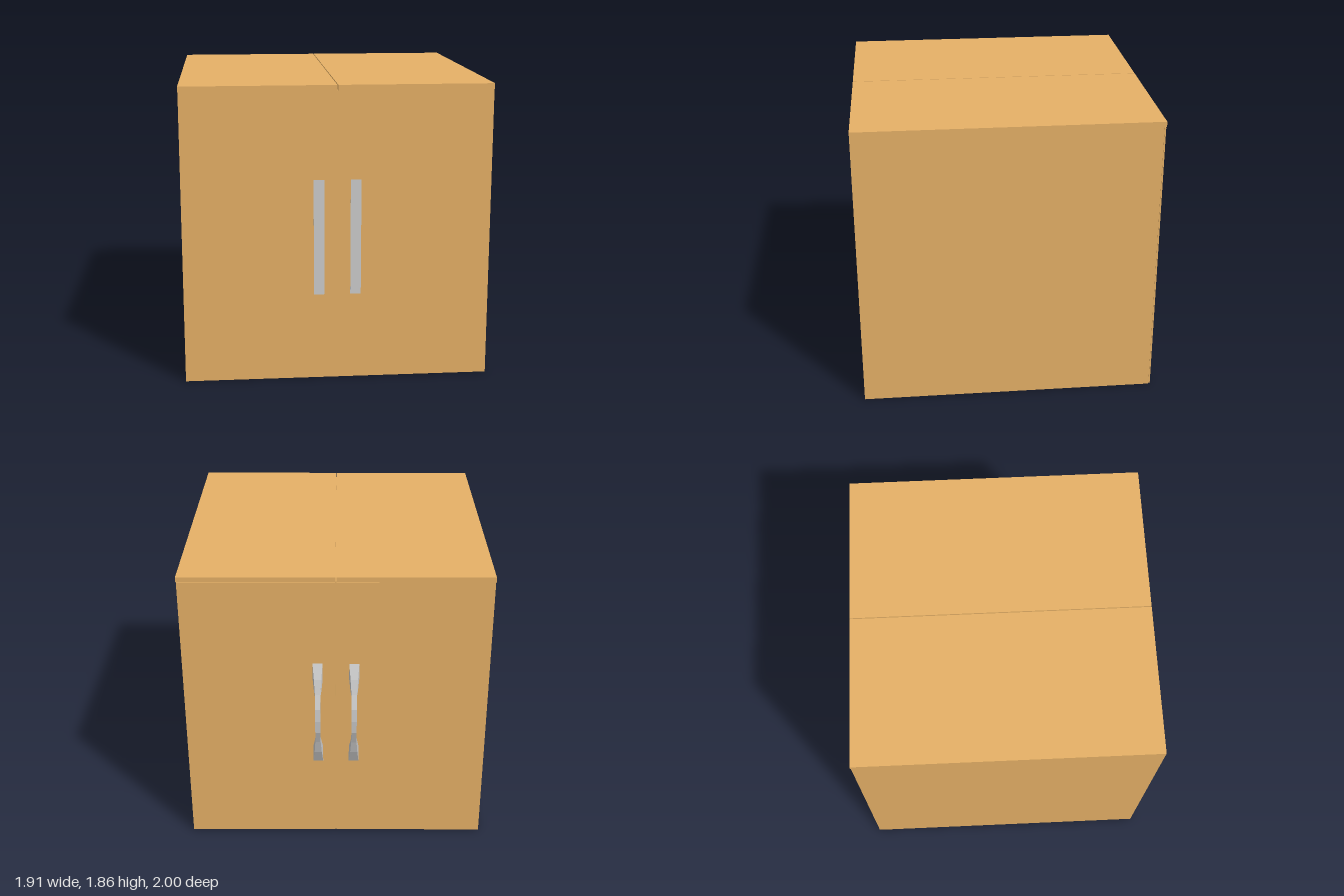
import * as THREE from 'three';

const wood = new THREE.MeshStandardMaterial({ color: 0xe5b066 });
const metal = new THREE.MeshStandardMaterial({ color: 0xcccccc, flatShading: true });

// Box given by its minimum and maximum corners
function box(name, material, min, max) {
  const size = max.map((v, i) => v - min[i]);
  const mesh = new THREE.Mesh(new THREE.BoxGeometry(...size), material);
  mesh.position.set(...min.map((v, i) => (v + max[i]) / 2));
  mesh.name = name;
  return mesh;
}

// Bowed handle: rectangular sections lofted from one foot to the other
function handleGeometry() {
  // outer y, outer z, inner y, inner z, half width (y measured from the middle)
  const half = [
    [0.365, -0.89, 0.25, -0.89, 0.032],
    [0.265, -0.935, 0.185, -0.935, 0.023],
    [0.175, -0.96, 0.15, -0.944, 0.017],
    [0.085, -0.993, 0.075, -0.953, 0.016],
    [0, -1, 0, -0.963, 0.017],
  ];
  const mirrored = half.slice(0, -1).reverse().map(([a, b, c, d, w]) => [-a, b, -c, d, w]);
  const sections = [...half, ...mirrored];
  const positions = [];
  const index = [];
  for (const [oy, oz, iy, iz, w] of sections) {
    positions.push(-w, oy, oz, w, oy, oz, w, iy, iz, -w, iy, iz);
  }
  for (let s = 0; s < sections.length - 1; s++) {
    for (let k = 0; k < 4; k++) {
      const a = s * 4 + k, b = s * 4 + (k + 1) % 4;
      index.push(a, b, a + 4, b, b + 4, a + 4);
    }
  }
  // feet
  const e = (sections.length - 1) * 4;
  index.push(0, 2, 1, 0, 3, 2, e, e + 1, e + 2, e, e + 2, e + 3);
  const geometry = new THREE.BufferGeometry();
  geometry.setAttribute('position', new THREE.Float32BufferAttribute(positions, 3));
  geometry.setIndex(index);
  const flat = geometry.toNonIndexed();
  flat.computeVertexNormals();
  return flat;
}

export function createModel() {
  const model = new THREE.Group();
  model.name = 'cabinet';

  // Carcass
  model.add(box('carcass', wood, [-0.955, 0, -0.883], [0.955, 1.826, 0.999]));

  const bar = handleGeometry();
  bar.computeBoundingSphere();
  const gap = 0.003;
  for (const side of [1, -1]) {
    const label = side > 0 ? 'left' : 'right';
    const span = (a, b) => [Math.min(a * side, b * side), Math.max(a * side, b * side)];

    // Half of the top, with a narrow seam in the middle
    const [t0, t1] = span(gap, 0.957);
    model.add(box(label + 'Top', wood, [t0, 1.826, -0.897], [t1, 1.86, 0.999]));

    // Thin door
    const [d0, d1] = span(gap * 1.5, 0.955);
    model.add(box(label + 'Door', wood, [d0, 0.004, -0.893], [d1, 1.822, -0.884]));

    // Door handle
    const handle = new THREE.Mesh(bar, metal);
    handle.name = label + 'Handle';
    handle.position.set(side * 0.114, 0.915, 0);
    model.add(handle);

    // Flush strip on the opposite wall
    const [s0, s1] = span(0.081, 0.147);
    model.add(box(label + 'Strip', metal, [s0, 0.55, 0.99], [s1, 1.28, 1]));
  }
  return model;
}
